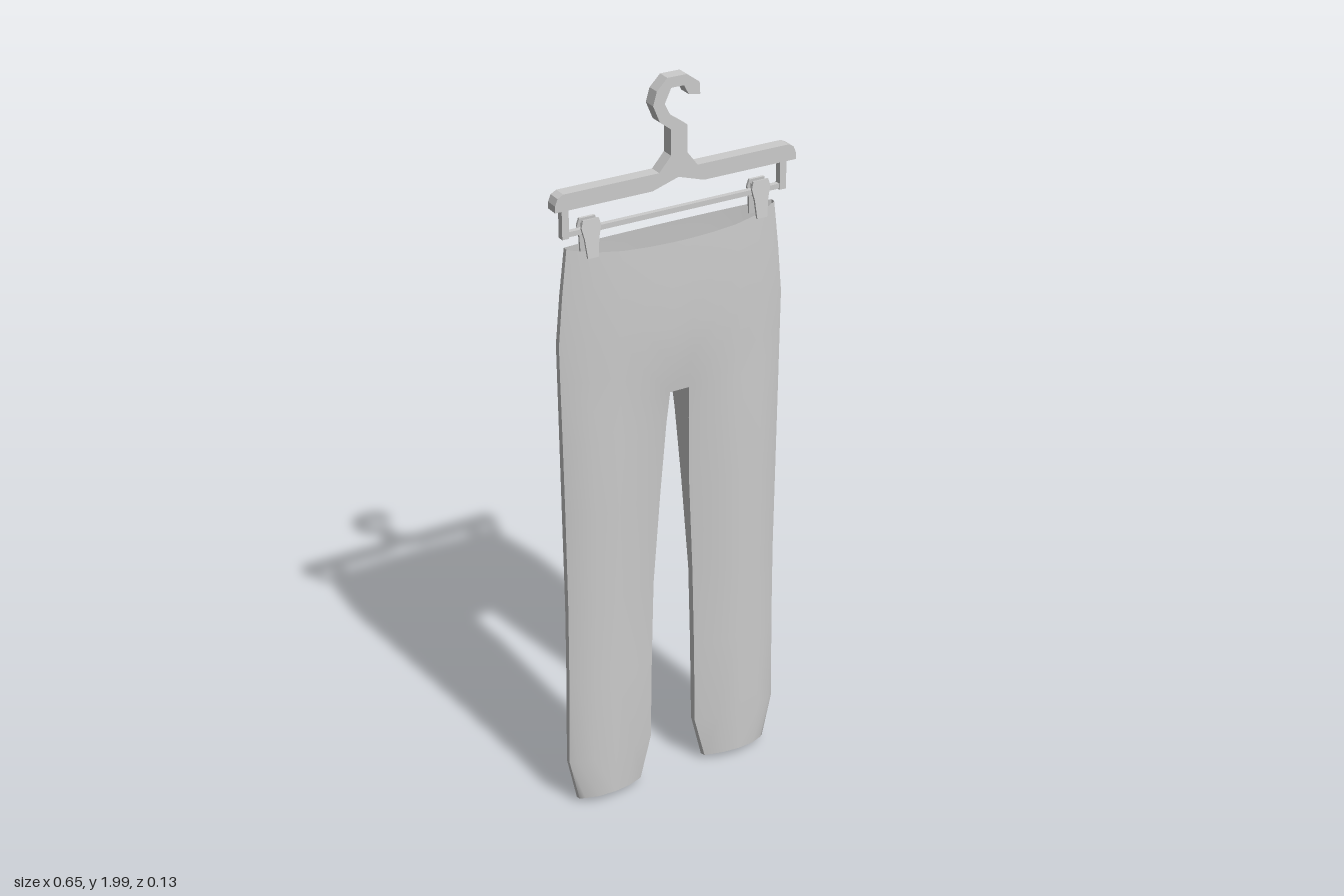
import * as THREE from 'three';
import { toCreasedNormals } from 'three/addons/utils/BufferGeometryUtils.js';

const material = new THREE.MeshStandardMaterial({ color: 0xcccccc });
const clothMaterial = new THREE.MeshStandardMaterial({ color: 0xcccccc, side: THREE.DoubleSide });
const HANGER_Z = 0.027;

function addMesh(parent, name, geometry, mat = material) {
  const mesh = new THREE.Mesh(geometry, mat);
  mesh.name = name;
  parent.add(mesh);
  return mesh;
}

function plate(points, depth) {
  const shape = new THREE.Shape(points.map(([x, y]) => new THREE.Vector2(x, y)));
  return new THREE.ExtrudeGeometry(shape, { depth, bevelEnabled: false }).translate(0, 0, -depth / 2);
}

// Trousers: front and back panels for each side, joined at seams, crotch and inner legs
function trousersGeometry() {
  const SEAM_Z = 0.01, CROTCH_ROW = 6;
  const columns = [0, 0.25, 0.5, 0.75, 0.93, 1];
  const legBulge = [0.25, 0.8, 1, 0.88, 0.45, 0.2];
  const torsoBulge = [1, 0.95, 0.84, 0.6, 0.28, 0.12];
  // height, inner x, outer x, front depth, back depth, torso share of the bulge
  const rows = [
    [0.02, 0.1, 0.285, 0.038, 0.04, 0],
    [0.15, 0.068, 0.312, 0.04, 0.04, 0],
    [0.4, 0.064, 0.307, 0.04, 0.042, 0],
    [0.63, 0.058, 0.305, 0.041, 0.045, 0],
    [0.9, 0.042, 0.307, 0.047, 0.055, 0.2],
    [1.1, 0.032, 0.309, 0.051, 0.062, 0.5],
    [1.19, 0.027, 0.31, 0.053, 0.066, 0.72],
    [1.27, 0.027, 0.311, 0.055, 0.071, 0.92],
    [1.37, 0.027, 0.312, 0.056, 0.074, 1],
    [1.5, 0.027, 0.3, 0.055, 0.067, 1],
    [1.62, 0.027, 0.286, 0.052, 0.057, 1],
  ];
  const last = rows.length - 1, n = columns.length;
  const positions = [], index = [];
  const sides = [1, -1];

  for (const side of sides) for (const face of sides) {
    rows.forEach(([y, xin, xout, front, back, torso], r) => {
      columns.forEach((t, c) => {
        const bulge = THREE.MathUtils.lerp(legBulge[c], torsoBulge[c], torso);
        const dz = face * bulge * (face > 0 ? front : back);
        let height = y;
        if (r === 0) height += dz * 0.3;              // slanted hem
        if (r === last) height -= 0.025 * bulge;      // dipped waist
        positions.push(side * THREE.MathUtils.lerp(xin, xout, t), height, SEAM_Z + dz);
      });
    });
  }
  const id = (side, face, r, c) =>
    (((side > 0 ? 0 : 2) + (face > 0 ? 0 : 1)) * rows.length + r) * n + c;
  const quad = (a, b, c, d, keep) => {
    if (keep) index.push(a, b, c, a, c, d);
    else index.push(a, c, b, a, d, c);
  };

  for (let r = 0; r < last; r++) {
    for (const side of sides) {
      // panels
      for (const face of sides) for (let c = 0; c < n - 1; c++) {
        quad(id(side, face, r, c), id(side, face, r, c + 1),
          id(side, face, r + 1, c + 1), id(side, face, r + 1, c), side * face > 0);
      }
      // outer seam, and inner leg below the crotch
      for (const c of r < CROTCH_ROW ? [0, n - 1] : [n - 1]) {
        quad(id(side, 1, r, c), id(side, -1, r, c), id(side, -1, r + 1, c),
          id(side, 1, r + 1, c), (side > 0) === (c > 0));
      }
    }
    // centre strips above the crotch
    if (r >= CROTCH_ROW) for (const face of sides) {
      quad(id(-1, face, r, 0), id(1, face, r, 0),
        id(1, face, r + 1, 0), id(-1, face, r + 1, 0), face > 0);
    }
  }
  // crotch bridge
  quad(id(-1, 1, CROTCH_ROW, 0), id(-1, -1, CROTCH_ROW, 0),
    id(1, -1, CROTCH_ROW, 0), id(1, 1, CROTCH_ROW, 0), true);

  const geometry = new THREE.BufferGeometry();
  geometry.setAttribute('position', new THREE.Float32BufferAttribute(positions, 3));
  geometry.setIndex(index);
  return toCreasedNormals(geometry, 0.9);
}

function createHanger() {
  const hanger = new THREE.Group();
  hanger.name = 'hanger';
  hanger.position.z = HANGER_Z;

  // One flat outline for the hook, neck and shoulder bar
  addMesh(hanger, 'hookAndBar', plate([
    [0.027, 1.95], [0.058, 1.945], [0.056, 1.975], [0.022, 2], [-0.03, 2],
    [-0.058, 1.972], [-0.068, 1.938], [-0.05, 1.895], [-0.02, 1.872], [-0.02, 1.807],
    [-0.052, 1.77], [-0.305, 1.77], [-0.32, 1.762], [-0.327, 1.745], [-0.327, 1.728],
    [-0.07, 1.728], [0, 1.75], [0.07, 1.728], [0.327, 1.728], [0.327, 1.745],
    [0.32, 1.762], [0.305, 1.77], [0.052, 1.77], [0.024, 1.807], [0.024, 1.876],
    [-0.022, 1.908], [-0.037, 1.938], [-0.02, 1.974], [0.014, 1.974],
  ].reverse(), 0.034));

  addMesh(hanger, 'clipRail', new THREE.BoxGeometry(0.6, 0.013, 0.013).translate(0, 1.662, 0));

  for (const side of [1, -1]) {
    addMesh(hanger, 'railDrop',
      new THREE.BoxGeometry(0.018, 0.08, 0.018).translate(side * 0.297, 1.693, 0));

    // Clip: two tapered jaws that lean together around the rail
    const clip = new THREE.Group();
    clip.name = 'clip';
    clip.position.set(side * 0.232, 1.643, 0);
    for (const face of [1, -1]) {
      const jaw = addMesh(clip, 'clipJaw', plate([
        [-0.014, -0.047], [0.014, -0.047], [0.019, 0], [0.026, 0.03],
        [0.021, 0.048], [-0.021, 0.048], [-0.026, 0.03], [-0.019, 0],
      ], 0.006));
      jaw.position.z = face * 0.014;
      jaw.rotation.x = -face * 0.1;
    }
    addMesh(clip, 'clipCore', new THREE.BoxGeometry(0.034, 0.03, 0.024).translate(0, 0.022, 0));
    hanger.add(clip);
  }
  return hanger;
}

export function createModel() {
  const model = new THREE.Group();
  model.name = 'trousersOnHanger';
  addMesh(model, 'trousers', trousersGeometry(), clothMaterial);
  model.add(createHanger());
  return model;
}
